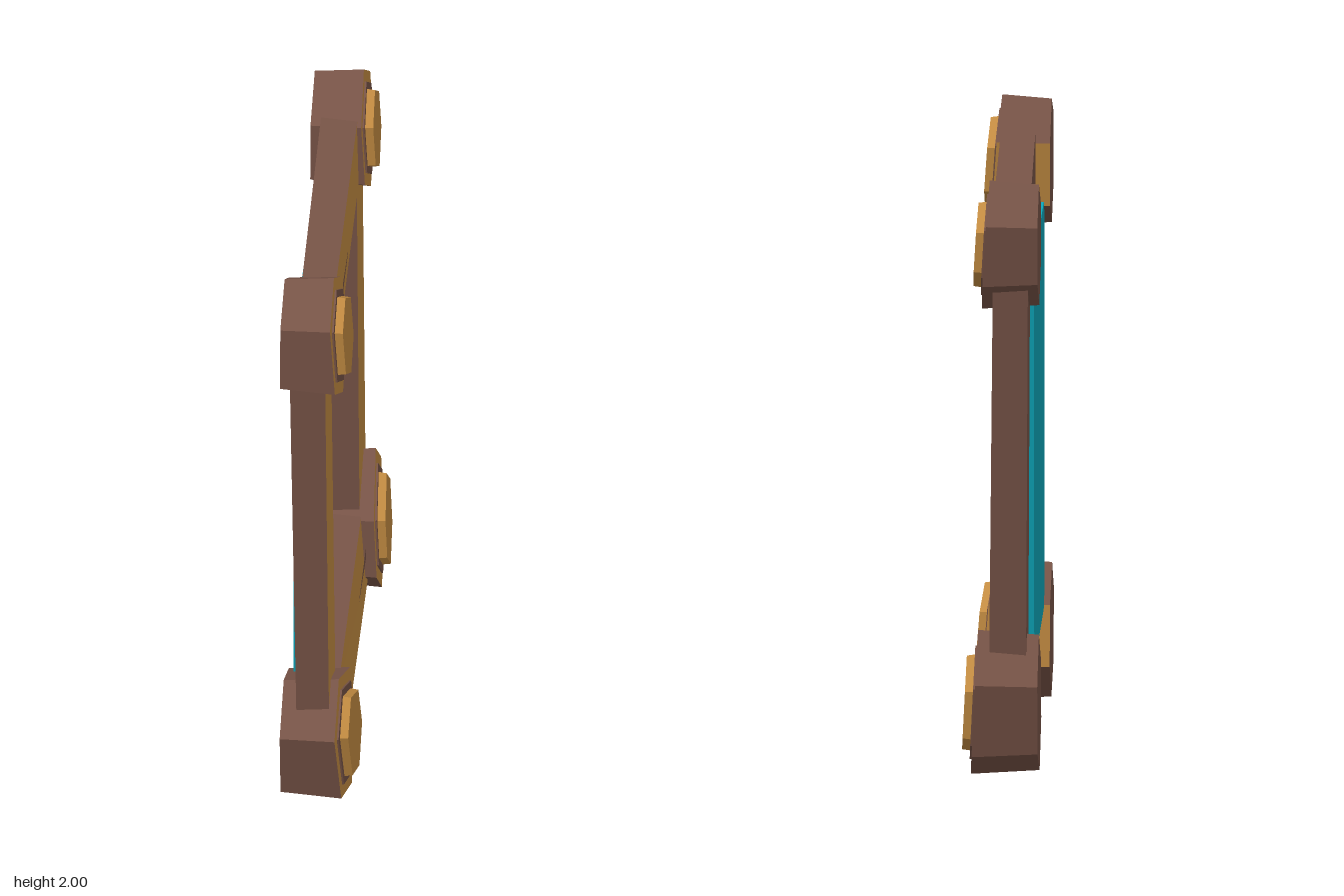
import * as THREE from 'three';

const mat = (name, color, side = THREE.FrontSide) => {
  const m = new THREE.MeshStandardMaterial({ color, side });
  m.name = name;
  return m;
};

// Everything is laid out in a (u, v, w) frame, w pointing out of the painting,
// and the whole group is turned so that w becomes +x.
export function createModel() {
  const wood = mat('cutWood', 0xc68e43);
  const bark = mat('bark', 0x795548);
  const sea = mat('sea', 0x0da9bd);
  const sky = mat('sky', 0x76c2cc);
  const hill = mat('hill', 0x82af4a);
  const cloud = mat('cloud', 0xc8c8c8);

  const frame = new THREE.Group();
  frame.name = 'pictureFrame';
  frame.rotation.y = Math.PI / 2;

  // Solid between two clockwise outlines of [u, v, w] points.
  // materials = [front, sides, back]; frontEdge is one side painted like the front.
  function prism(name, front, back, materials, frontEdge = -1) {
    const pos = [];
    const g = new THREE.BufferGeometry();
    const add = (material, ...tris) => {
      g.addGroup(pos.length / 3, tris.length * 3, material);
      tris.forEach(t => t.forEach(p => pos.push(...p)));
    };
    const n = front.length;
    for (let i = 1; i < n - 1; i++) {
      add(0, [front[0], front[i + 1], front[i]]);
      add(2, [back[0], back[i], back[i + 1]]);
    }
    for (let i = 0; i < n; i++) {
      const j = (i + 1) % n;
      add(i === frontEdge ? 0 : 1,
        [front[i], front[j], back[j]], [front[i], back[j], back[i]]);
    }
    g.setAttribute('position', new THREE.Float32BufferAttribute(pos, 3));
    g.computeVertexNormals();
    const mesh = new THREE.Mesh(g, materials);
    mesh.name = name;
    frame.add(mesh);
  }

  // Flat painted shape at depth w
  function plate(name, pts, w, material) {
    const shape = new THREE.Shape(pts.map(p => new THREE.Vector2(...p)));
    const mesh = new THREE.Mesh(new THREE.ShapeGeometry(shape), material);
    mesh.position.z = w;
    mesh.name = name;
    frame.add(mesh);
  }

  // Four beams: outline clockwise, then front and back depth at each point
  const beams = [
    ['leftBeam', [[-.73, 1.75], [-.49, 1.75], [-.475, .25], [-.735, .25]],
      [.02, .02, .035, .035], [-.095, -.095, -.07, -.07]],
    ['rightBeam', [[.52, 1.75], [.752, 1.75], [.717, .25], [.463, .25]],
      [.025, .025, .04, .04], [-.088, -.088, -.08, -.08]],
    ['topBeam', [[-.62, 1.918], [.62, 1.875], [.62, 1.657], [-.62, 1.66]],
      [.04, .03, .036, .046], [-.07, -.09, -.09, -.07]],
    ['bottomBeam', [[-.6, .37], [.6, .36], [.6, .1], [-.6, .137]],
      [.05, .045, .065, .07], [-.085, -.09, -.09, -.085]],
  ];
  for (const [name, pts, f, b] of beams) {
    prism(name, pts.map((p, i) => [...p, f[i]]), pts.map((p, i) => [...p, b[i]]),
      [wood, bark, bark]);
  }

  // Four six-sided log ends; w = front depth, tilt = slope of the front in u and v
  const corners = [
    { name: 'topLeft', w: .055, tilt: [.02, -.07], knob: .032, edge: 1,
      pts: [[-.61, 2], [-.42, 1.88], [-.43, 1.66], [-.62, 1.565], [-.81, 1.68], [-.8, 1.915]] },
    { name: 'topRight', w: .052, tilt: [0, -.06], knob: .032, edge: -1,
      pts: [[.645, 1.97], [.815, 1.85], [.805, 1.65], [.61, 1.54], [.445, 1.655], [.455, 1.87]] },
    { name: 'bottomLeft', w: .077, tilt: [.05, -.07], knob: .032, edge: 1,
      pts: [[-.65, .465], [-.42, .36], [-.39, .15], [-.57, .01], [-.79, .095], [-.83, .34]] },
    { name: 'bottomRight', w: .09, tilt: [-.02, -.05], knob: .032, edge: -1,
      pts: [[.655, .49], [.83, .34], [.805, .1], [.58, 0], [.41, .15], [.43, .355]] },
  ];
  for (const { name, w, tilt, knob, edge, pts } of corners) {
    const cu = pts.reduce((s, p) => s + p[0], 0) / 6;
    const cv = pts.reduce((s, p) => s + p[1], 0) / 6;
    // Outline scaled about its centre and lifted off the tilted front
    const ring = (s, lift) => pts.map(([u, v]) => {
      const du = (u - cu) * s, dv = (v - cv) * s;
      return [cu + du, cv + dv, w + tilt[0] * du + tilt[1] * dv + lift];
    });
    const back = ring(.94, 0).map(([u, v]) => [u, v, -.12]);
    prism(name + 'LogEnd', ring(1, 0), back, [wood, bark, bark], edge);
    prism(name + 'Ring', ring(.79, .006), ring(.79, -.01), [bark, bark, bark]);
    prism(name + 'Knob', ring(.65, knob), ring(.67, 0), [wood, wood, wood]);
  }

  // Cracks in the wood
  plate('topCrack', [[-.45, 1.81], [-.43, 1.8], [-.14, 1.785], [-.13, 1.775], [-.43, 1.755], [-.45, 1.755]], .048, bark);
  plate('bottomCrack', [[.43, .265], [.14, .25], [.13, .242], [.43, .22]], .064, bark);

  // Backing board, its front face painted as sky
  const board = [[-.5, 1.68], [.535, 1.68], [.5, .34], [-.5, .34]];
  prism('backingBoard', board.map(p => [...p, -.06]), board.map(p => [...p, -.1]), [sky, sea, sea]);

  // Painted scene
  plate('hills', [[-.5, 1.385], [-.235, .925], [-.225, .925], [-.105, 1.058], [-.09, 1.058], [-.02, .81], [-.5, .78]], -.057, hill);
  plate('block', [[.115, .955], [.295, .952], [.308, .94], [.308, .81], [.085, .81]], -.057, wood);
  plate('water', [[-.5, .787], [-.02, .815], [.3, .818], [.51, .81], [.5, .345], [-.5, .345]], -.055, sea);
  plate('waterGlint', [[-.5, .59], [.49, .524], [.49, .482], [-.5, .492]], -.053, sky);
  plate('largeCloud', [[-.165, 1.375], [-.15, 1.385], [.205, 1.4], [.205, 1.38], [.185, 1.28], [.17, 1.27], [-.14, 1.285], [-.16, 1.3]], -.057, cloud);
  plate('smallCloud', [[.305, 1.19], [.32, 1.2], [.52, 1.2], [.52, 1.08], [.305, 1.1]], -.057, cloud);

  const model = new THREE.Group();
  model.name = 'framedPainting';
  model.add(frame);
  return model;
}
